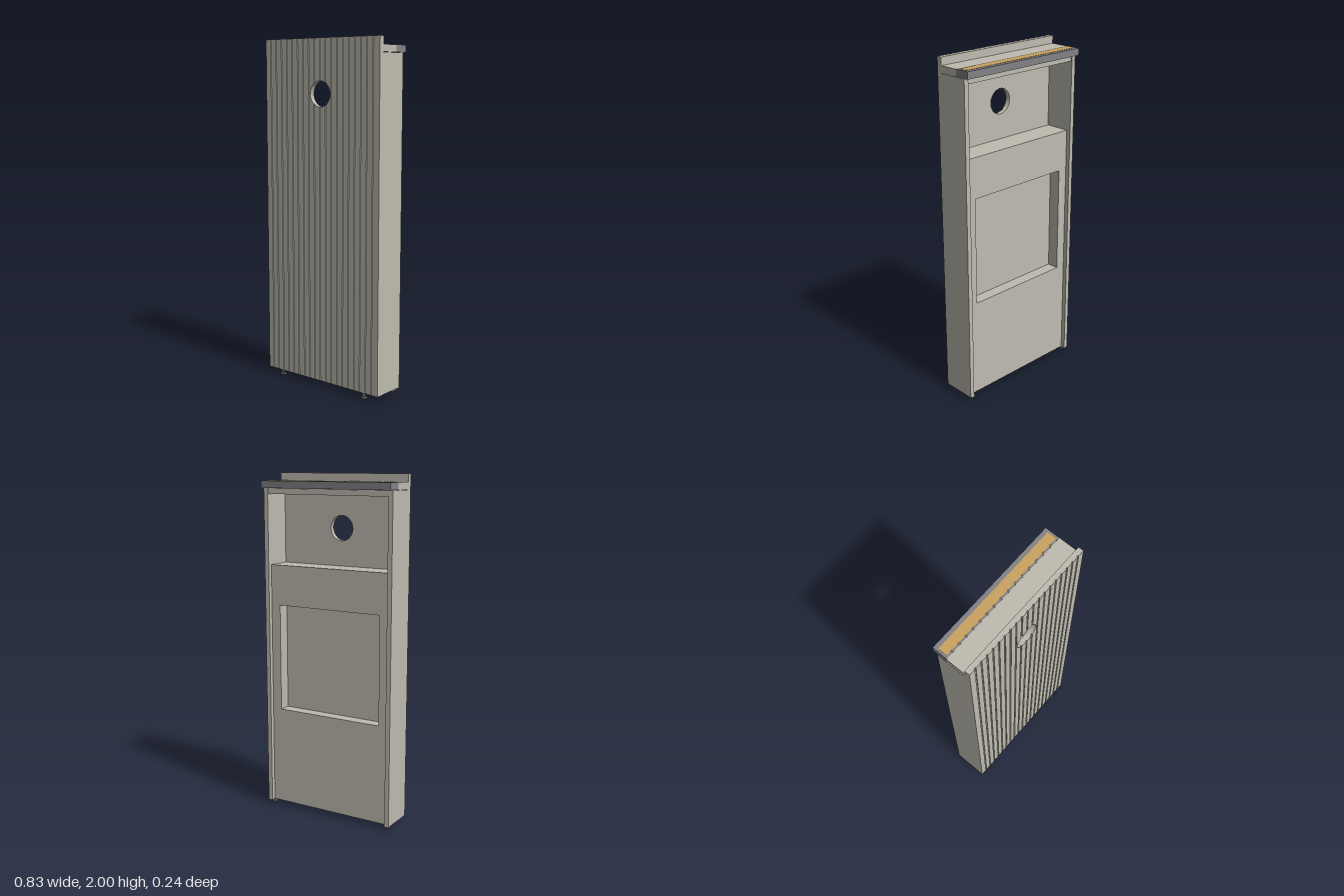
import * as THREE from 'three';

const cream = new THREE.MeshStandardMaterial({ name: 'creamPanel', color: 0xbfbbb0 });
const grey = new THREE.MeshStandardMaterial({ name: 'greyRail', color: 0x828287 });
const amber = new THREE.MeshStandardMaterial({ name: 'amberStrip', color: 0xc9a25f });
const steel = new THREE.MeshStandardMaterial({ name: 'darkSteel', color: 0x626264 });

const HALF = 0.415, BOTTOM = 0.03, TOP = 2;
const HOLE_Y = 1.693, HOLE_R = 0.072;

export function createModel() {
  const model = new THREE.Group();
  model.name = 'counterPanel';

  const add = (name, geometry, material) => {
    const mesh = new THREE.Mesh(geometry, material);
    mesh.name = name;
    model.add(mesh);
    return mesh;
  };
  // Box given by its limits on each axis
  const box = (name, [x0, x1], [y0, y1], [z0, z1], material = cream) =>
    add(name, new THREE.BoxGeometry(x1 - x0, y1 - y0, z1 - z0), material)
      .position.set((x0 + x1) / 2, (y0 + y1) / 2, (z0 + z1) / 2);
  const rect = (x0, x1, y0, y1) => [[x0, y0], [x1, y0], [x1, y1], [x0, y1]]
    .map(([x, y]) => new THREE.Vector2(x, y));
  const slab = (name, shape, z0, z1) =>
    add(name, new THREE.ExtrudeGeometry(shape, { depth: z1 - z0, bevelEnabled: false, curveSegments: 32 }), cream)
      .position.set(0, 0, z0);

  // Front board with a round hole
  const board = new THREE.Shape(rect(-HALF, HALF, BOTTOM, TOP));
  board.holes.push(new THREE.Path().absarc(0, HOLE_Y, HOLE_R, 0, Math.PI * 2, true));
  slab('frontBoard', board, 0.079, 0.105);

  // Planks between the grooves, cut around the hole
  const count = 20, pitch = HALF * 2 / count, gap = 0.0045;
  for (let i = 0; i < count; i++) {
    const x0 = -HALF + i * pitch + (i ? gap : 0);
    const x1 = -HALF + (i + 1) * pitch - (i < count - 1 ? gap : 0);
    if (Math.min(Math.abs(x0), Math.abs(x1)) >= HOLE_R) {
      slab('plank', new THREE.Shape(rect(x0, x1, BOTTOM, TOP)), 0.105, 0.11);
      continue;
    }
    for (const [end, side] of [[BOTTOM, -1], [TOP, 1]]) {
      const points = [new THREE.Vector2(x0, end), new THREE.Vector2(x1, end)];
      for (let k = 0; k <= 8; k++) {
        const x = x1 + (x0 - x1) * k / 8;
        points.push(new THREE.Vector2(x, HOLE_Y + side * Math.sqrt(Math.max(0, HOLE_R ** 2 - x * x))));
      }
      slab('plank', new THREE.Shape(points), 0.105, 0.11);
    }
  }

  // Carcass: sides, ceiling and floor
  const inner = 0.388;
  for (const s of [-1, 1]) {
    box('sidePanel', s > 0 ? [inner, HALF] : [-HALF, -inner], [BOTTOM, 1.915], [-0.096, 0.079]);
  }
  box('ceiling', [-inner, inner], [1.883, 1.915], [-0.09, 0.079]);
  box('floor', [-inner, inner], [BOTTOM, 0.05], [-0.07, 0.079]);

  // Lower back panel with a square recess, its shelf and the recess back
  const back = new THREE.Shape(rect(-inner, inner, 0.05, 1.465));
  back.holes.push(new THREE.Path(rect(-0.33, 0.33, 0.612, 1.242).reverse()));
  slab('backPanel', back, -0.07, 0);
  box('recessBack', [-0.34, 0.34], [0.6, 1.25], [0, 0.012]);
  box('innerShelf', [-inner, inner], [1.465, 1.477], [-0.07, 0.079]);

  // Top shelf with a grey rail and inlaid strip
  box('topShelf', [-HALF, HALF], [1.917, 1.956], [-0.035, 0.079]);
  box('topRail', [-0.414, 0.414], [1.917, 1.957], [-0.122, -0.035], grey);
  box('railStrip', [-0.4, 0.4], [1.954, 1.9585], [-0.098, -0.045], amber);

  // Adjustable front feet and rear floor channels
  for (const s of [-1, 1]) {
    add('footDisc', new THREE.CylinderGeometry(0.016, 0.019, 0.01, 24), steel).position.set(s * 0.312, 0.005, 0.098);
    add('footStem', new THREE.CylinderGeometry(0.008, 0.008, 0.022, 16), steel).position.set(s * 0.312, 0.02, 0.098);
    const x = s * 0.392;
    box('channelPlate', [x - 0.015, x + 0.015], [0.026, BOTTOM], [-0.096, -0.035], steel);
    for (const e of [-1, 1]) {
      const w = x + e * 0.011;
      box('channelWall', [w - 0.004, w + 0.004], [0.016, 0.026], [-0.096, -0.035], steel);
    }
  }
  return model;
}
